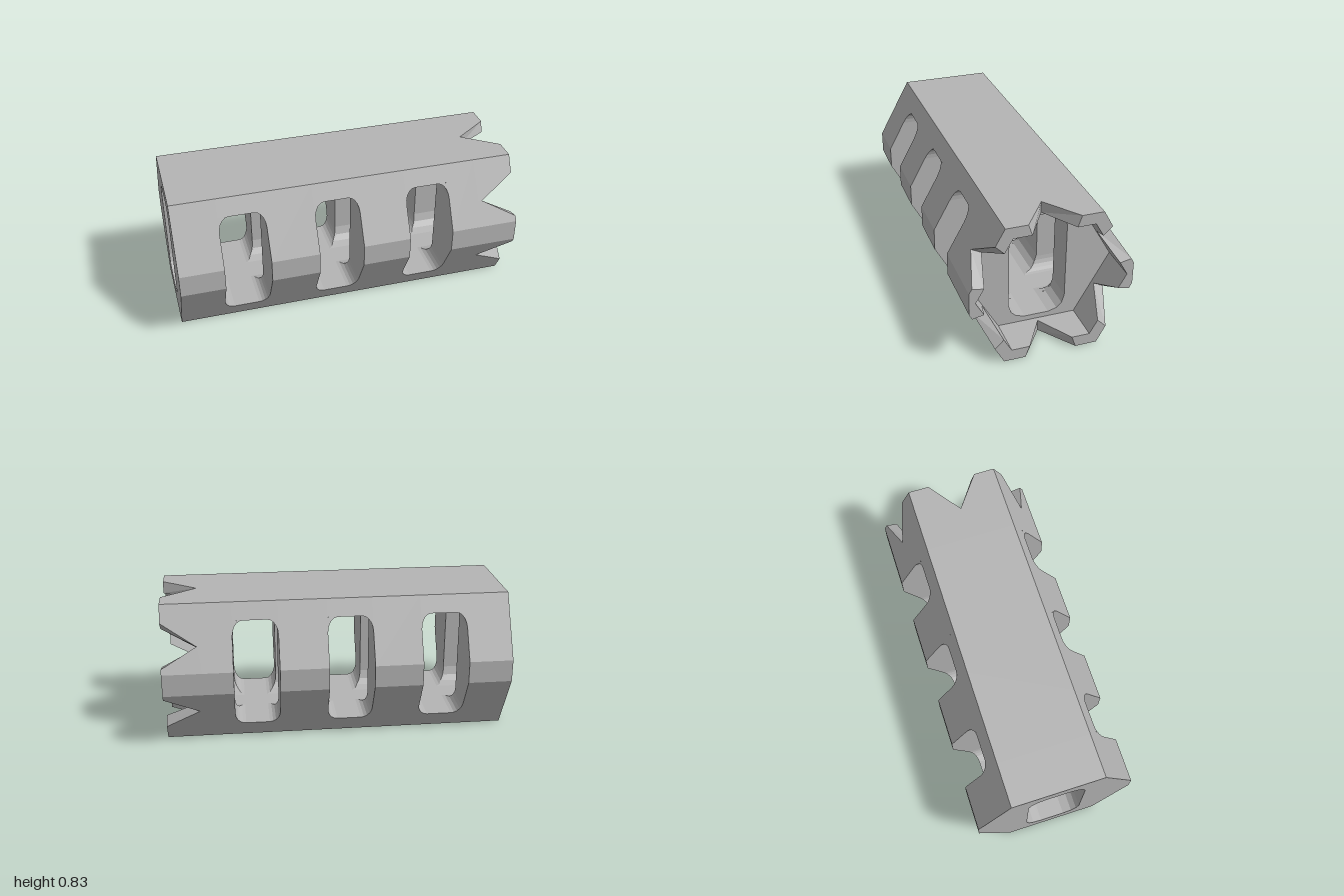
import * as THREE from 'three';

const steel = new THREE.MeshStandardMaterial({ color: 0xb4b4b4, flatShading: true });
steel.name = 'grey steel';

const MID = 0.415; // height of the axis
// Cross-sections as [z, y], y measured from the axis
const OUTER = [[0.46, -0.065], [0.46, 0.065], [0.268, 0.415], [-0.268, 0.415],
  [-0.46, 0.065], [-0.46, -0.065], [-0.268, -0.415], [0.268, -0.415]];
const INNER = [[0.425, 0], [0.225, 0.35], [-0.225, 0.35], [-0.425, 0], [-0.225, -0.35], [0.225, -0.35]];
const BORE_CORNER = [[0.165, 0.228], [0.15, 0.278], [0.12, 0.306], [0.07, 0.32]];
const SLOT_TOP = 0.32;
const SLOTS = [[-0.745, -0.48], [-0.2, 0.06], [0.34, 0.6]];
const CHAMBER = 0.775;

const flip = (pts, sz, sy) => pts.map(([z, y]) => [z * sz, y * sy]);
const BORE = [...BORE_CORNER, ...flip(BORE_CORNER, -1, 1).reverse(),
  ...flip(BORE_CORNER, -1, -1), ...flip(BORE_CORNER, 1, -1).reverse()];
const path = (pts, C) => new C(pts.map(([z, y]) => new THREE.Vector2(z, y)));

// Extrudes a cross-section along x
function alongX(pts, x0, x1, hole) {
  const shape = path(pts, THREE.Shape);
  if (hole) shape.holes.push(path(hole, THREE.Path));
  const g = new THREE.ExtrudeGeometry(shape, { depth: x1 - x0, bevelEnabled: false });
  return g.rotateY(Math.PI / 2).translate(x0, MID, 0);
}

// Geometry from quads of [x, y, z] corners; each is wound to face along its hint
function fromQuads(quads) {
  const pos = [];
  const v = (p) => new THREE.Vector3(...p);
  for (const { q, hint } of quads) {
    const n = v(q[2]).sub(v(q[0])).cross(v(q[3]).sub(v(q[1])));
    const [a, b, c, d] = n.dot(v(hint)) < 0 ? [...q].reverse() : q;
    pos.push(...a, ...b, ...c, ...a, ...c, ...d);
  }
  const g = new THREE.BufferGeometry();
  g.setAttribute('position', new THREE.Float32BufferAttribute(pos, 3));
  g.translate(0, MID, 0);
  g.computeVertexNormals();
  return g;
}

// Where a ray from the axis at angle a meets a convex cross-section
function hit(pts, a) {
  const c = Math.cos(a), s = Math.sin(a);
  let best = Infinity;
  pts.forEach(([z0, y0], i) => {
    const [z1, y1] = pts[(i + 1) % pts.length];
    const nz = y1 - y0, ny = z0 - z1, d = c * nz + s * ny;
    if (d > 1e-9) best = Math.min(best, (z0 * nz + y0 * ny) / d);
  });
  return [c * best, s * best];
}

// Crown: thin hexagonal wall with a V notch in each face
function crownGeometry() {
  const rad = Math.PI / 180;
  const notches = [[12, 27.3, 45], [70.7, 90, 109.3], [135, 152.7, 168],
    [192, 207.3, 225], [250.7, 270, 289.3], [315, 332.7, 348]];
  const stops = notches.flatMap(([a, m, b]) => [[a * rad, 1], [m * rad, 0.8], [b * rad, 1]]);
  for (const [z, y] of [...OUTER, ...INNER]) {
    const a = (Math.atan2(y, z) + 2 * Math.PI) % (2 * Math.PI);
    if (!stops.some((s) => Math.abs(s[0] - a) < 1e-4)) stops.push([a, 1]);
  }
  stops.sort((p, q) => p[0] - q[0]);
  const quads = [];
  stops.forEach(([a, xa], i) => {
    const [b, xb] = stops[(i + 1) % stops.length];
    const [oa, ob, ia, ib] = [hit(OUTER, a), hit(OUTER, b), hit(INNER, a), hit(INNER, b)];
    const p = (x, [z, y]) => [x, y, z];
    const out = [0, oa[1] + ob[1], oa[0] + ob[0]];
    quads.push({ q: [p(CHAMBER, oa), p(CHAMBER, ob), p(xb, ob), p(xa, oa)], hint: out });
    quads.push({ q: [p(CHAMBER, ia), p(CHAMBER, ib), p(xb, ib), p(xa, ia)], hint: out.map((k) => -k) });
    quads.push({ q: [p(xa, oa), p(xb, ob), p(xb, ib), p(xa, ia)], hint: [1, 0, 0] });
  });
  return fromQuads(quads);
}

// Rounded slot corner between the wall at x and the slab; dx points into the slot
function filletGeometry(x, dx, sy, sz) {
  const RX = 0.06, RY = 0.08, N = 5, quads = [];
  const outerZ = (y) => 0.268 + (0.192 * (0.415 - y)) / 0.35;
  const boreZ = (y) => {
    for (let i = 0; i < 3; i++) {
      const [z0, y0] = BORE_CORNER[i], [z1, y1] = BORE_CORNER[i + 1];
      if (y <= y1 + 1e-6) return z0 + ((z1 - z0) * (y - y0)) / (y1 - y0);
    }
    return 0.07;
  };
  const at = (i) => {
    const t = (i / N) * Math.PI / 2;
    const y = SLOT_TOP - RY + RY * Math.sin(t);
    return { x: x + dx * RX * (1 - Math.cos(t)), y, zi: boreZ(y), zo: outerZ(y) };
  };
  for (let i = 0; i < N; i++) {
    const a = at(i), b = at(i + 1);
    const p = (px, s, z) => [px, s.y * sy, z * sz];
    quads.push({ q: [p(a.x, a, a.zi), p(a.x, a, a.zo), p(b.x, b, b.zo), p(b.x, b, b.zi)], hint: [dx, -sy, 0] });
    quads.push({ q: [p(x, a, a.zo), p(a.x, a, a.zo), p(b.x, b, b.zo), p(x, b, b.zo)], hint: [0, 0, sz] });
    quads.push({ q: [p(x, a, a.zi), p(a.x, a, a.zi), p(b.x, b, b.zi), p(x, b, b.zi)], hint: [0, 0, -sz] });
  }
  return fromQuads(quads);
}

export function createModel() {
  const group = new THREE.Group();
  group.name = 'muzzleBrake';
  const add = (name, geometry) => {
    const mesh = new THREE.Mesh(geometry, steel);
    mesh.name = name;
    group.add(mesh);
  };

  // Solid baffles with the bore through them
  const starts = [-1, ...SLOTS.map((s) => s[1])];
  const ends = [...SLOTS.map((s) => s[0]), CHAMBER];
  starts.forEach((x0, i) => add('baffle' + (i + 1), alongX(OUTER, x0, ends[i], BORE)));

  // Slabs above and below each side slot, with rounded corners
  const slab = [[0.32, SLOT_TOP], [0.268, 0.415], [-0.268, 0.415], [-0.32, SLOT_TOP]];
  for (const [x0, x1] of SLOTS) {
    add('topSlab', alongX(slab, x0, x1));
    add('bottomSlab', alongX(flip(slab, 1, -1), x0, x1));
    for (const sy of [1, -1]) for (const sz of [1, -1]) {
      add('slotCorner', filletGeometry(x0, 1, sy, sz));
      add('slotCorner', filletGeometry(x1, -1, sy, sz));
    }
  }

  add('notchedCrown', crownGeometry());
  return group;
}
